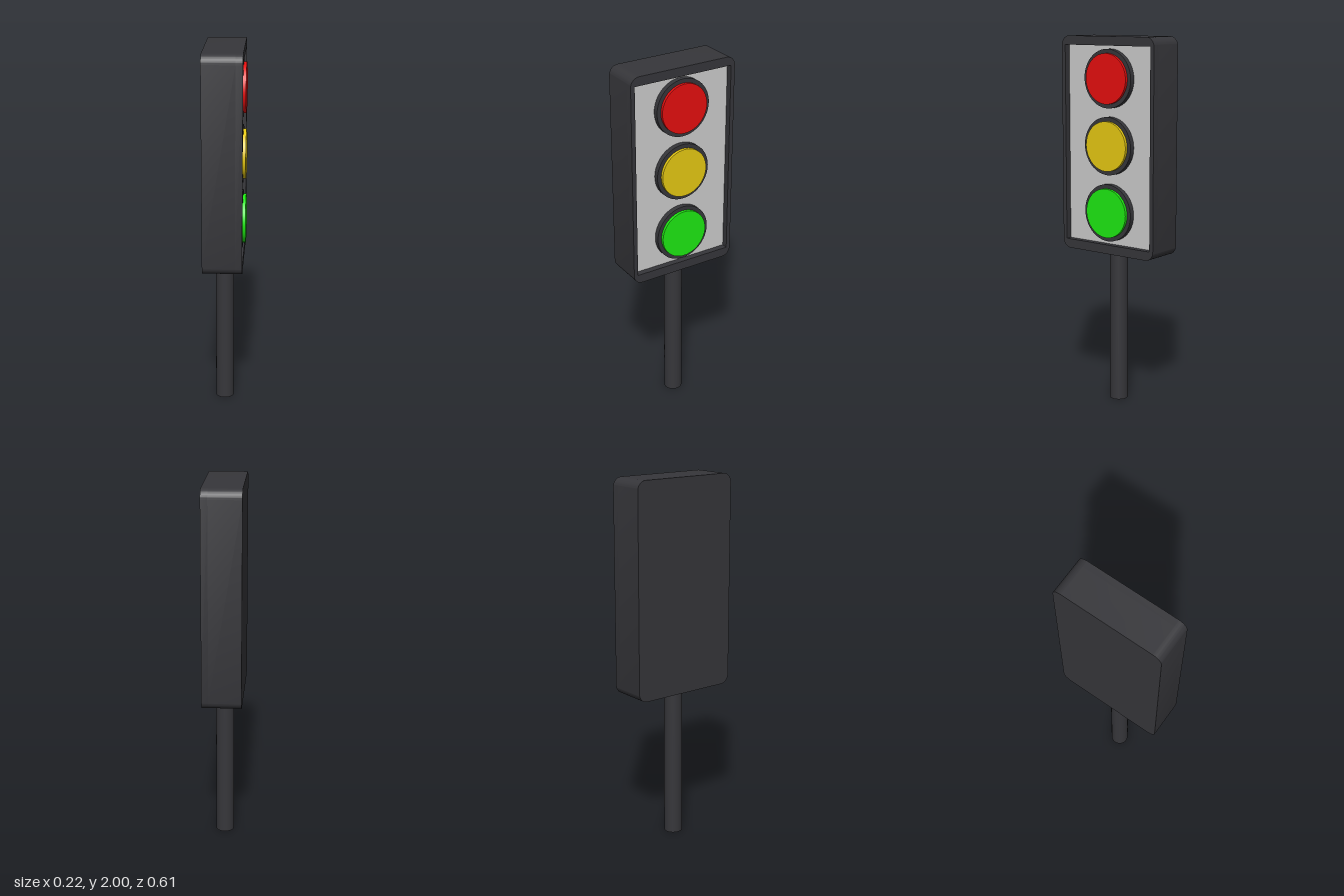
import * as THREE from 'three';
import { toCreasedNormals } from 'three/addons/utils/BufferGeometryUtils.js';

const BACK = -0.11, RECESS = 0.063, FRONT = 0.1;
const BOTTOM = 0.84, TOP = 2, HALF_WIDTH = 0.307;

// Rectangle with rounded corners, in the housing's width/height plane
function roundedRect(w, y0, y1, r) {
  const s = new THREE.Shape();
  s.moveTo(-w + r, y0);
  s.lineTo(w - r, y0);
  s.absarc(w - r, y0 + r, r, -Math.PI / 2, 0);
  s.lineTo(w, y1 - r);
  s.absarc(w - r, y1 - r, r, 0, Math.PI / 2);
  s.lineTo(-w + r, y1);
  s.absarc(-w + r, y1 - r, r, Math.PI / 2, Math.PI);
  s.lineTo(-w, y0 + r);
  s.absarc(-w + r, y0 + r, r, Math.PI, Math.PI * 1.5);
  return s;
}

// Extrude a shape along x between two planes
function extrudeX(shape, x0, x1) {
  const g = new THREE.ExtrudeGeometry(shape, { depth: x1 - x0, bevelEnabled: false, curveSegments: 8 });
  g.translate(0, 0, x0).rotateY(Math.PI / 2);
  return toCreasedNormals(g, 0.6);
}

// Round disc facing +x between two planes
function discX(radius, x0, x1) {
  const g = new THREE.CylinderGeometry(radius, radius, x1 - x0, 48);
  return g.rotateZ(-Math.PI / 2).translate((x0 + x1) / 2, 0, 0);
}

export function createModel() {
  const model = new THREE.Group();
  const dark = new THREE.MeshStandardMaterial({ color: 0x36363a });
  const grey = new THREE.MeshStandardMaterial({ color: 0xcccccc });

  const add = (name, geometry, material, parent = model) => {
    const mesh = new THREE.Mesh(geometry, material);
    mesh.name = name;
    parent.add(mesh);
    return mesh;
  };

  // Post
  add('pole', new THREE.CylinderGeometry(0.05, 0.05, BOTTOM + 0.01, 32), dark)
    .position.set(-0.005, (BOTTOM + 0.01) / 2, 0);

  // Housing: solid back and a raised rim around the recess
  const housing = new THREE.Group();
  housing.name = 'housing';
  model.add(housing);
  add('housingBody', extrudeX(roundedRect(HALF_WIDTH, BOTTOM, TOP, 0.05), BACK, RECESS), dark, housing);
  const rim = roundedRect(HALF_WIDTH, BOTTOM, TOP, 0.05);
  const w = 0.284, y0 = 0.89, y1 = 1.952;
  rim.holes.push(new THREE.Path([[-w, y0], [-w, y1], [w, y1], [w, y0]].map(([x, y]) => new THREE.Vector2(x, y))));
  add('housingRim', extrudeX(rim, RECESS, FRONT), dark, housing);

  // Light panel at the bottom of the recess
  add('facePanel', new THREE.BoxGeometry(0.006, y1 - y0, w * 2), grey)
    .position.set(RECESS, (y0 + y1) / 2, 0);

  // Three lamps, each a dark bezel with a coloured lens
  const lamps = [
    ['red', 1.78, 0xe60e0e],
    ['yellow', 1.424, 0xe6c912],
    ['green', 1.064, 0x1eea12],
  ];
  for (const [name, y, color] of lamps) {
    const lamp = new THREE.Group();
    lamp.name = name + 'Lamp';
    lamp.position.y = y;
    add(name + 'Bezel', discX(0.155, RECESS - 0.01, 0.094), dark, lamp);
    add(name + 'Lens', discX(0.133, RECESS, 0.11), new THREE.MeshStandardMaterial({ color }), lamp);
    model.add(lamp);
  }

  return model;
}
